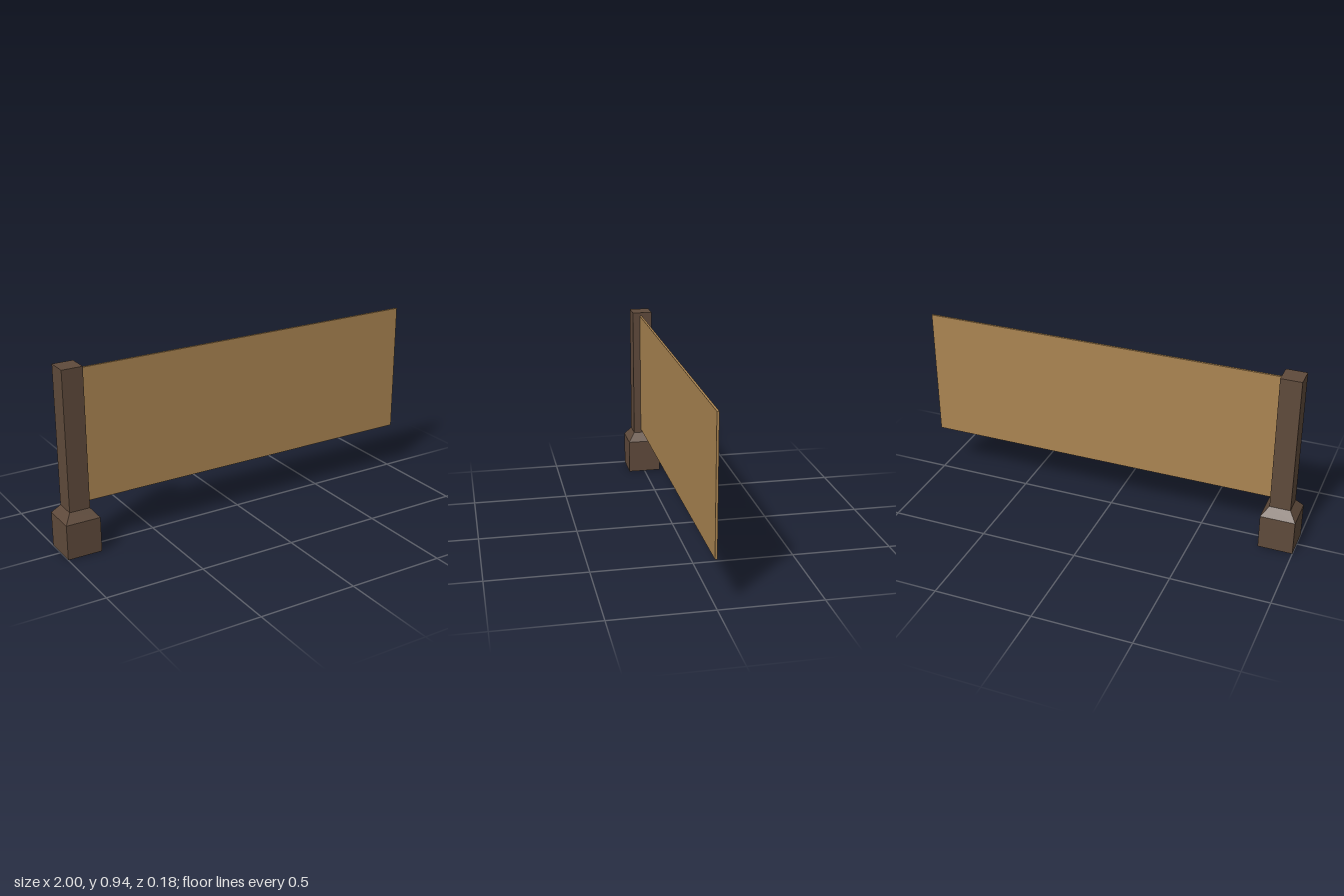
import * as THREE from 'three';

const postWood = new THREE.MeshStandardMaterial({ color: 0x5f4a3b });
postWood.name = 'dark post wood';
const panelWood = new THREE.MeshStandardMaterial({ color: 0xab8552 });
panelWood.name = 'light panel wood';

// Square turned profile: [half width, height] pairs from bottom to top, with flat faces
function squareProfile(pairs) {
  const points = pairs.map(([half, y]) => new THREE.Vector2(half * Math.SQRT2, y));
  const geometry = new THREE.LatheGeometry(points, 4, Math.PI / 4).toNonIndexed();
  geometry.computeVertexNormals();
  return geometry;
}

export function createModel() {
  const model = new THREE.Group();
  model.name = 'fenceSection';

  // Post with a wide foot and a sloped shoulder
  const post = new THREE.Mesh(
    squareProfile([
      [0, 0], [0.0885, 0], [0.0885, 0.18], [0.053, 0.226], [0.053, 0.937], [0, 0.937],
    ]),
    postWood
  );
  post.name = 'post';
  post.position.x = -0.9115;
  model.add(post);

  // Thin panel running from the post's inner face, just forward of centre
  const left = -0.86, right = 1, bottom = 0.245, top = 0.918;
  const panel = new THREE.Mesh(
    new THREE.BoxGeometry(right - left, top - bottom, 0.011),
    panelWood
  );
  panel.name = 'panel';
  panel.position.set((left + right) / 2, (bottom + top) / 2, 0.008);
  model.add(panel);

  return model;
}
